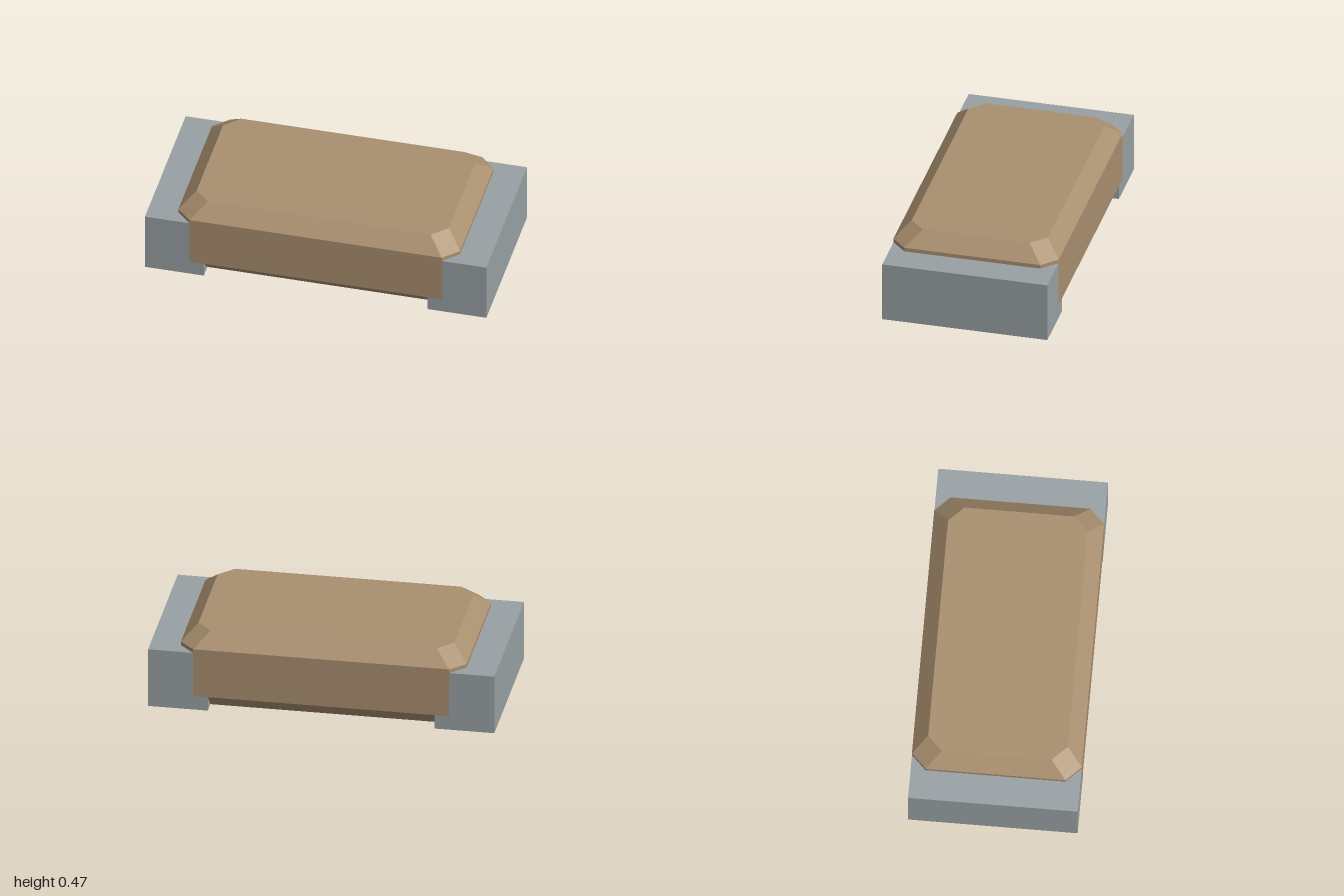
import * as THREE from 'three';
import { ConvexGeometry } from 'three/addons/geometries/ConvexGeometry.js';

const ceramic = new THREE.MeshStandardMaterial({ color: 0xa98f6f });
ceramic.name = 'tan ceramic';
const metal = new THREE.MeshStandardMaterial({ color: 0x99a1a4 });
metal.name = 'grey metal';

// Box standing on y = 0 with every edge cut at 45 degrees
function chamferedBox(halfX, height, halfZ, c) {
  const points = [];
  for (const [y, inset] of [[0, c], [c, 0], [height - c, 0], [height, c]]) {
    const x = halfX - inset, z = halfZ - inset;
    for (const sx of [-1, 1]) for (const sz of [-1, 1]) {
      points.push(new THREE.Vector3(sx * x, y, sz * (z - c)));
      points.push(new THREE.Vector3(sx * (x - c), y, sz * z));
    }
  }
  return new ConvexGeometry(points);
}

export function createModel() {
  const model = new THREE.Group();
  model.name = 'chipComponent';

  // Ceramic body, a hair proud of the terminals where they lie flush
  const body = new THREE.Mesh(chamferedBox(0.825, 0.469, 0.485, 0.086), ceramic);
  body.name = 'body';
  model.add(body);

  // Metal end terminals
  const inner = 0.655, top = 0.36, bottom = 0.0006;
  for (const [name, side] of [['leftTerminal', 1], ['rightTerminal', -1]]) {
    const terminal = new THREE.Mesh(new THREE.BoxGeometry(1 - inner, top - bottom, 0.9688), metal);
    terminal.position.set(side * (1 + inner) / 2, (top + bottom) / 2, 0);
    terminal.name = name;
    model.add(terminal);
  }
  return model;
}
